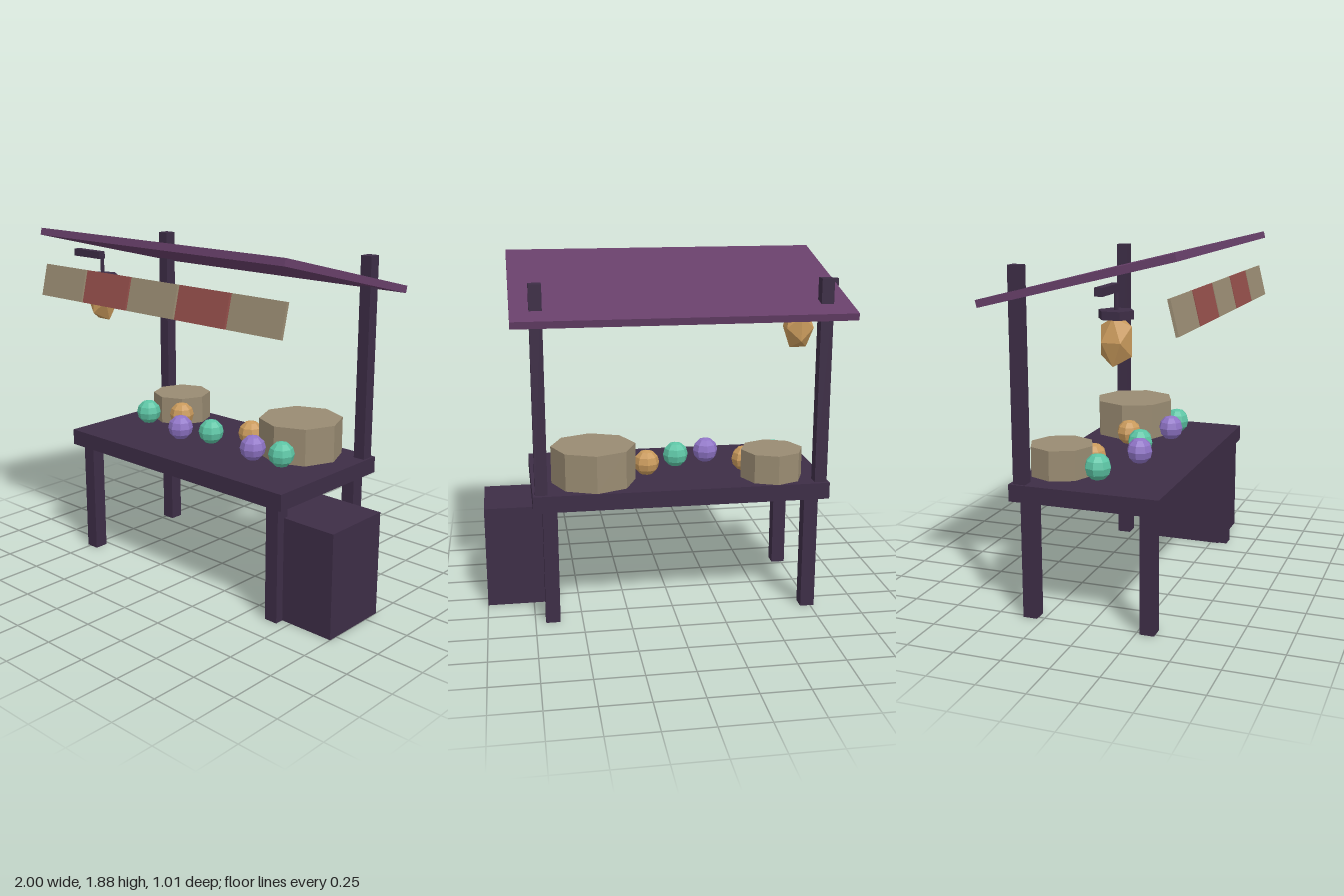
import * as THREE from 'three';

const material = (name, color) => {
  const m = new THREE.MeshStandardMaterial({ color });
  m.name = name;
  return m;
};

// Faceted normals for low-poly shapes
const faceted = (geometry) => {
  const g = geometry.index ? geometry.toNonIndexed() : geometry;
  g.computeVertexNormals();
  return g;
};

export function createModel() {
  const wood = material('dark wood', 0x3d2d46);
  const roofPurple = material('roof purple', 0x673f69);
  const cream = material('cream', 0x998b72);
  const red = material('faded red', 0x934e4a);
  const amber = material('amber', 0xc99a5c);
  const teal = material('teal', 0x5cc4a4);
  const violet = material('violet', 0x8f74c6);

  const model = new THREE.Group();
  model.name = 'marketStall';

  const add = (name, geometry, mat, x, y, z) => {
    const mesh = new THREE.Mesh(geometry, mat);
    mesh.name = name;
    mesh.position.set(x, y, z);
    model.add(mesh);
    return mesh;
  };
  const box = (name, mat, w, h, d, x, y, z) =>
    add(name, new THREE.BoxGeometry(w, h, d), mat, x, y, z);
  const drum = (name, mat, r, h, sides, x, y, z) =>
    add(name, faceted(new THREE.CylinderGeometry(r, r, h, sides)), mat, x, y, z);

  const cx = -0.038; // centre line of table and roof
  const tilt = -0.243;

  // Counter, legs and roof posts
  box('tabletop', wood, 1.565, 0.088, 0.785, cx, 0.675, -0.008);
  for (const side of [-1, 1]) {
    const label = side > 0 ? 'left' : 'right';
    box(label + 'FrontLeg', wood, 0.076, 0.635, 0.076, cx + side * 0.695, 0.3175, 0.308);
    box(label + 'BackLeg', wood, 0.076, 0.635, 0.076, cx + side * 0.695, 0.3175, -0.322);
    box(label + 'RoofPost', wood, 0.065, 1.08, 0.065, cx + side * 0.738, 1.258, -0.347);
  }

  // Sloping roof
  box('roof', roofPurple, 1.733, 0.038, 1.015, cx, 1.741, -0.007).rotation.x = tilt;

  // Valance of alternating cloth panels
  for (let i = 0; i < 5; i++) {
    const panel = box('valancePanel', i % 2 ? red : cream, 0.335, 0.174, 0.015,
      cx + (i - 2) * 0.347, 1.596, 0.473);
    panel.rotation.x = tilt;
  }

  // Crate beside the counter
  box('crate', wood, 0.39, 0.56, 0.39, 0.805, 0.28, 0.103);

  // Eight-sided baskets
  drum('largeBasket', cream, 0.225, 0.2, 8, 0.414, 0.82, -0.175);
  drum('smallBasket', cream, 0.168, 0.156, 8, -0.542, 0.797, -0.23);

  // Row of gems on the counter
  const gem = faceted(new THREE.SphereGeometry(0.07, 8, 6));
  const gemColors = [teal, amber, violet, teal, amber, violet, teal];
  const gemDepths = [-0.01, -0.105, 0.085, 0.025, -0.105, 0.085, 0.065];
  gemDepths.forEach((z, i) => add('gem', gem, gemColors[i], -0.6 + i * 0.18, 0.787, z));

  // Hanging lantern
  box('lanternArm', wood, 0.22, 0.04, 0.04, -0.89, 1.71, 0.16);
  drum('lanternRod', wood, 0.011, 0.12, 6, -0.78, 1.65, 0.16);
  drum('lanternCap', wood, 0.088, 0.04, 6, -0.78, 1.585, 0.16);
  add('lanternCrystal', faceted(new THREE.IcosahedronGeometry(0.09).scale(1, 1.5, 1)),
    amber, -0.78, 1.46, 0.16);

  return model;
}
